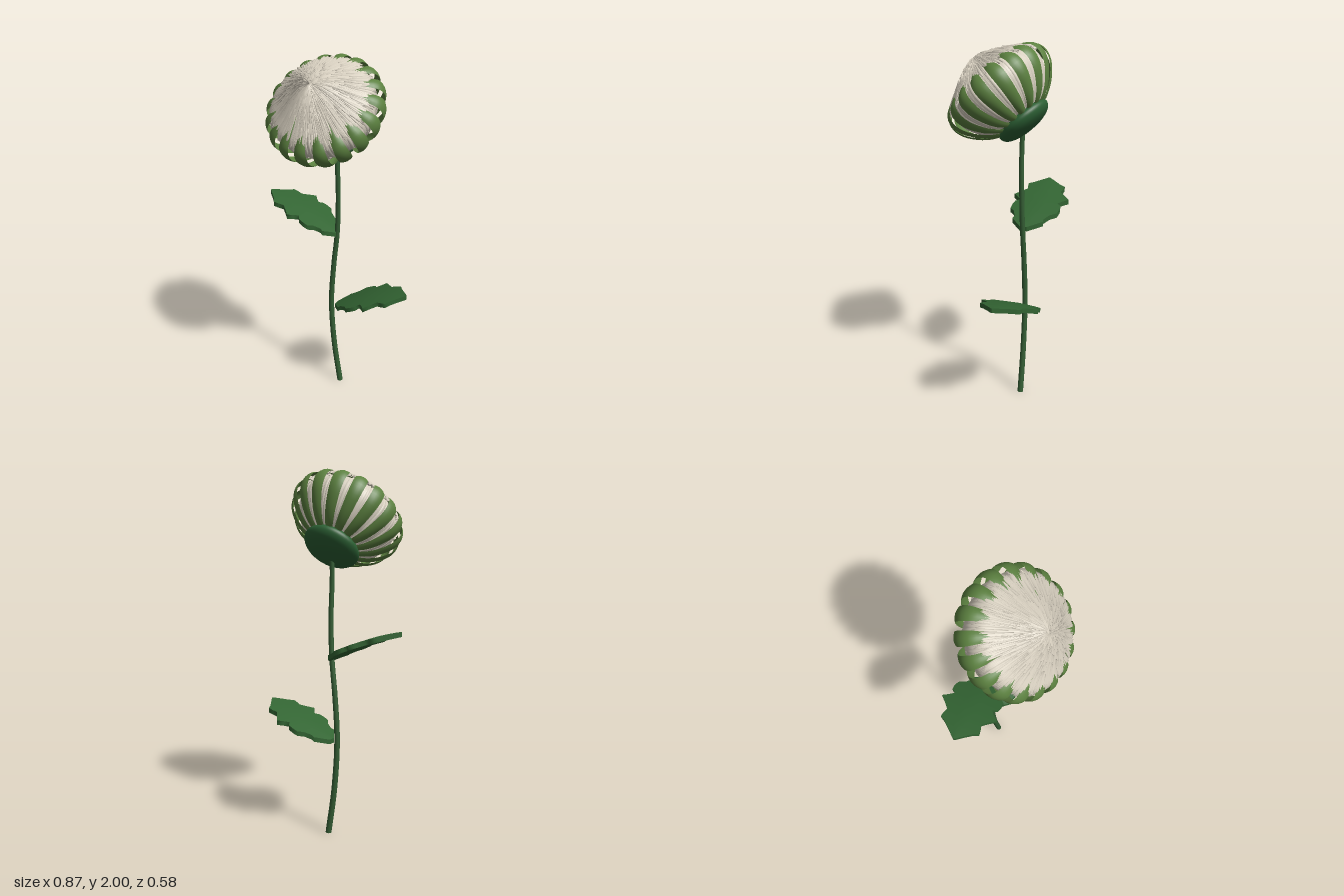
import * as THREE from 'three';
import { mergeGeometries } from 'three/addons/utils/BufferGeometryUtils.js';

const mat = (name, color) => {
  const m = new THREE.MeshStandardMaterial({ color, side: THREE.DoubleSide });
  m.name = name;
  return m;
};

// Smooth sheet from a rule giving a point for (row fraction, column from -1 to 1, row)
function sheet(rows, cols, rule) {
  const pos = [], idx = [];
  for (let i = 0; i <= rows; i++)
    for (let j = 0; j <= cols; j++) pos.push(...rule(i / rows, (j / cols) * 2 - 1, i));
  for (let i = 0; i < rows; i++)
    for (let j = 0; j < cols; j++) {
      const a = i * (cols + 1) + j, b = a + cols + 1;
      idx.push(a, a + 1, b, b, a + 1, b + 1);
    }
  const g = new THREE.BufferGeometry();
  g.setAttribute('position', new THREE.Float32BufferAttribute(pos, 3));
  g.setIndex(idx);
  g.computeVertexNormals();
  return g;
}

// Profile curve in (radius, height)
const profile = (pts) => new THREE.SplineCurve(pts.map(([r, h]) => new THREE.Vector2(r, h)));

// Arched strip following part of a profile, facing outward along +z
function strip(curve, t0, t1, rows, cols, width, arch, lift) {
  return sheet(rows, cols, (t, s) => {
    const k = t0 + (t1 - t0) * t;
    const p = curve.getPoint(k), d = curve.getTangent(k);
    const off = lift(t) - arch * s * s;
    return [s * width(t), p.y - d.x * off, p.x + d.y * off];
  });
}

function seeded(seed) {
  return () => (seed = (seed * 16807) % 2147483647) / 2147483647;
}

export function createModel() {
  const model = new THREE.Group();
  model.name = 'flower';
  const stemMat = mat('stem green', 0x345d34);
  const leafMat = mat('leaf green', 0x336533);
  const cupMat = mat('cup green', 0x2c6034);
  const bractMat = mat('bract green', 0x5c8140);
  const cream = mat('cream', 0xd8d0c0);
  const add = (parent, name, geo, material) => {
    const m = new THREE.Mesh(geo, material);
    m.name = name;
    parent.add(m);
    return m;
  };

  // Curving stem, slimmer towards the top
  const path = new THREE.CatmullRomCurve3([
    [0.025, 0, -0.102], [-0.018, 0.28, -0.102], [-0.037, 0.56, -0.102], [-0.022, 0.8, -0.1],
    [0.002, 1.03, -0.097], [0.008, 1.25, -0.093], [0.002, 1.45, -0.09], [0, 1.57, -0.095],
  ].map((p) => new THREE.Vector3(...p)));
  const stem = new THREE.TubeGeometry(path, 48, 0.016, 12);
  const sp = stem.attributes.position;
  for (let i = 0; i < sp.count; i++) {
    const t = Math.floor(i / 13) / 48, c = path.getPointAt(t), f = 1.05 - 0.25 * t;
    const v = new THREE.Vector3().fromBufferAttribute(sp, i).sub(c).multiplyScalar(f).add(c);
    sp.setXYZ(i, v.x, Math.max(v.y, 0), v.z);
  }
  add(model, 'stem', stem, stemMat);
  const foot = add(model, 'stemEnd', new THREE.CircleGeometry(0.0165, 12), stemMat);
  foot.rotation.x = Math.PI / 2;
  foot.position.set(0.025, 0.001, -0.102);

  // Thick jagged leaves: half width by distance from the stem
  const outline = [
    [0, 0.02], [0.025, 0.055], [0.05, 0.09], [0.065, 0.085], [0.1, 0.105], [0.122, 0.137], [0.155, 0.14],
    [0.18, 0.135], [0.195, 0.112], [0.218, 0.135], [0.24, 0.163], [0.265, 0.135], [0.3, 0.1],
    [0.325, 0.107], [0.355, 0.111], [0.37, 0.083], [0.4, 0.047], [0.437, 0.004],
  ];
  const rows = outline.length - 1;
  const leafPoint = (i, s, up) => {
    const [x, w] = outline[i];
    const y = 0.546 + 0.58 * x - 0.44 * x * x - 0.008 * Math.abs(s) * (w / 0.16);
    return [x, y + 0.013 * up, -0.1 - 0.018 * Math.sin((Math.PI * x) / 0.437) + s * w];
  };
  const leafGeo = mergeGeometries([
    ...[1, -1].map((up) => sheet(rows, 6, (t, s, i) => leafPoint(i, s, up))),
    ...[1, -1].map((edge) => sheet(rows, 1, (t, up, i) => leafPoint(i, edge, up))),
    ...[0, rows].map((end) => sheet(1, 1, (t, up) => leafPoint(end, t * 2 - 1, up))),
  ]);
  add(model, 'leftLeaf', leafGeo, leafMat);
  const rightLeaf = add(model, 'rightLeaf', leafGeo, leafMat);
  rightLeaf.scale.x = -1;
  rightLeaf.position.y = 0.465;

  // Flower head, tilted forward
  const head = new THREE.Group();
  head.name = 'flowerHead';
  head.position.set(0, 1.585, -0.115);
  head.rotation.x = 0.75;
  model.add(head);

  // Shallow cup under the head
  const cup = profile([[0, -0.035], [0.07, -0.03], [0.125, -0.012], [0.152, 0.015], [0.15, 0.04], [0.12, 0.055], [0, 0.055]]);
  add(head, 'cup', new THREE.LatheGeometry(cup.getPoints(28), 40), cupMat);

  // Cream body beneath the florets
  const dome = profile([[0.1, 0.03], [0.19, 0.09], [0.245, 0.165], [0.265, 0.23], [0.25, 0.285], [0.2, 0.328], [0.13, 0.372], [0.06, 0.41], [0, 0.425]]);
  const core = dome.getPoints(32).map((p) => new THREE.Vector2(Math.max(p.x, 0), p.y));
  add(head, 'floretCore', new THREE.LatheGeometry(core, 64), cream);

  // Pointed florets spilling over the bract tips and converging at the crown
  const crown = profile([[0.288, 0.272], [0.262, 0.312], [0.205, 0.343], [0.135, 0.382], [0.065, 0.418], [0.008, 0.432]]);
  const rand = seeded(77);
  const florets = [];
  for (let i = 0; i < 520; i++) {
    const start = 0.5 * rand() ** 1.5, end = Math.min(1, start + 0.4 + 0.35 * rand());
    const wide = 0.005 + 0.004 * rand(), rise = 0.004 + 0.008 * rand();
    const g = strip(crown, start, end, 7, 2, (t) => wide * Math.min(1, 3 * t, 1.25 - t), 0.005,
      (t) => rise * t * t - 0.004 * (1 - t));
    g.rotateY(i * 2.39996);
    florets.push(g);
  }
  // Lower florets filling the sides of the body
  for (let i = 0; i < 90; i++) {
    const g = strip(dome, 0.05, 0.55, 9, 2, () => 0.008, 0.005, () => 0.002 + 0.006 * (i % 3) / 2);
    g.rotateY((i / 90) * Math.PI * 2);
    florets.push(g);
  }
  add(head, 'florets', mergeGeometries(florets), cream);

  // Ring of bulging green bracts whose long tips sink under the florets
  const bow = profile([[0.125, 0.03], [0.18, 0.05], [0.24, 0.093], [0.296, 0.16], [0.316, 0.225], [0.3, 0.28], [0.25, 0.318], [0.19, 0.342], [0.13, 0.37]]);
  const bractGeo = strip(bow, 0, 1, 26, 6,
    (t) => (0.017 + 0.018 * Math.sin(Math.PI * t * 0.85)) * Math.min(1, Math.sqrt((1 - t) * 2.2)),
    0.008, () => 0);
  for (let i = 0; i < 18; i++) {
    add(head, 'bract', bractGeo, bractMat).rotation.y = (i / 18) * Math.PI * 2;
  }
  return model;
}
